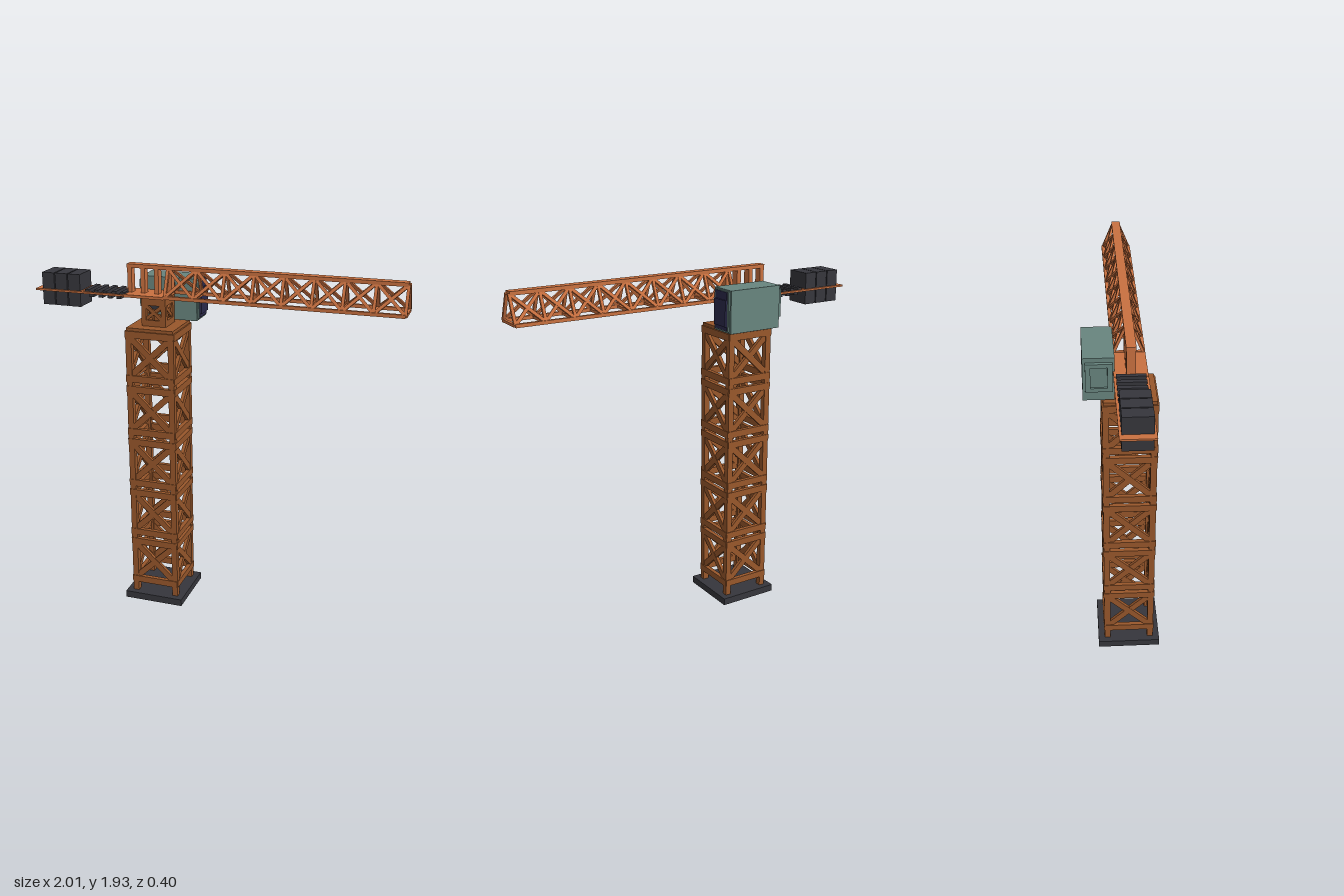
import * as THREE from 'three';

const material = (name, color) => {
  const m = new THREE.MeshStandardMaterial({ color });
  m.name = name;
  return m;
};

export function createModel() {
  const towerBrown = material('towerBrown', 0x98572b);
  const jibOrange = material('jibOrange', 0xc97140);
  const darkGrey = material('darkGrey', 0x36363c);
  const cabTeal = material('cabTeal', 0x68857f);
  const glassNavy = material('glassNavy', 0x2c2a4c);

  const crane = new THREE.Group();
  crane.name = 'towerCrane';
  const CX = -0.322, CZ = 0.025; // tower axis

  const group = (name, parent = crane) => {
    const g = new THREE.Group();
    g.name = name;
    parent.add(g);
    return g;
  };
  // Box given by its extents on each axis
  const box = (parent, name, mat, [x0, x1], [y0, y1], [z0, z1]) => {
    const mesh = new THREE.Mesh(new THREE.BoxGeometry(x1 - x0, y1 - y0, z1 - z0), mat);
    mesh.position.set((x0 + x1) / 2, (y0 + y1) / 2, (z0 + z1) / 2);
    mesh.name = name;
    parent.add(mesh);
    return mesh;
  };
  // Straight member from a to b; depth is measured along the normal
  const beam = (parent, name, mat, a, b, width, depth, normal = [0, 0, 1]) => {
    const p = new THREE.Vector3(...a), q = new THREE.Vector3(...b);
    const along = q.clone().sub(p);
    const length = along.length();
    along.normalize();
    const side = new THREE.Vector3(...normal).cross(along).normalize();
    const out = along.clone().cross(side);
    const mesh = new THREE.Mesh(new THREE.BoxGeometry(width, depth, length), mat);
    mesh.quaternion.setFromRotationMatrix(new THREE.Matrix4().makeBasis(side, out, along));
    mesh.position.copy(p).add(q).multiplyScalar(0.5);
    mesh.name = name;
    parent.add(mesh);
  };
  // Four corner legs of a square lattice column
  const legs = (parent, h, w, y0, y1) => {
    for (const x of [-h, h]) for (const z of [-h, h])
      box(parent, 'cornerLeg', towerBrown, [x - w / 2, x + w / 2], [y0, y1], [z - w / 2, z + w / 2]);
  };
  // Two rails and a cross brace on each of the four faces
  const bracedBay = (parent, r, half, y0, y1, rail, brace, depth) => {
    for (let i = 0; i < 4; i++) {
      const face = group('bracedFace', parent);
      face.rotation.y = i * Math.PI / 2;
      for (const y of [y0, y1])
        box(face, 'rail', towerBrown, [-half, half], [y - rail / 2, y + rail / 2], [r - depth / 2, r + depth / 2]);
      for (const s of [-1, 1])
        beam(face, 'crossBrace', towerBrown, [-s * half * 0.86, y0 + rail * 0.3, r - 0.004 - s * 0.001],
          [s * half * 0.86, y1 - rail * 0.3, r - 0.004 - s * 0.001], brace, depth * 0.8);
    }
  };

  // Base slab
  box(crane, 'baseSlab', darkGrey, [CX - 0.171, CX + 0.171], [0, 0.04], [CZ - 0.171, CZ + 0.171]);

  // Lattice tower of five bays
  const tower = group('tower');
  tower.position.set(CX, 0, CZ);
  legs(tower, 0.12, 0.033, 0.04, 1.59);
  for (let i = 0; i < 5; i++) {
    const y = 0.115 + i * 0.305;
    bracedBay(tower, 0.128, 0.136, y, y + 0.245, 0.038, 0.034, 0.024);
  }
  box(tower, 'towerCap', towerBrown, [-0.132, 0.132], [1.585, 1.615], [-0.132, 0.132]);

  // Slewing column between the tower and the deck
  const column = group('slewingColumn');
  column.position.set(CX, 0, CZ);
  legs(column, 0.055, 0.026, 1.615, 1.767);
  bracedBay(column, 0.06, 0.067, 1.63, 1.745, 0.036, 0.018, 0.016);
  box(column, 'pivotBlock', darkGrey, [-0.035, 0.035], [1.7, 1.765], [-0.035, 0.035]);

  // Deck with the mast posts and their head beam
  const deck = group('deck');
  const HW = 0.082;
  box(deck, 'deckPlate', jibOrange, [-0.49, -0.26], [1.765, 1.78], [CZ - HW, CZ + HW]);
  for (const x of [-0.472, -0.397, -0.32, -0.247])
    box(deck, 'mastPost', jibOrange, [x - 0.012, x + 0.012], [1.778, 1.915], [CZ - 0.022, CZ + 0.022]);
  box(deck, 'headBeam', jibOrange, [-0.485, -0.26], [1.912, 1.932], [CZ - 0.024, CZ + 0.024]);

  // Triangular lattice jib of eight panels
  const jib = group('jib');
  const J0 = -0.26, PITCH = 0.1565, LOW = 1.778, TOP = 1.92, E = HW - 0.009;
  box(jib, 'topChord', jibOrange, [J0, 0.997], [1.912, 1.932], [CZ - 0.024, CZ + 0.024]);
  for (const s of [-1, 1]) {
    const z = CZ + s * E, zt = CZ + s * 0.014;
    box(jib, 'bottomChord', jibOrange, [J0, 0.997], [1.768, 1.786], [z - 0.009, z + 0.009]);
    const n = [0, E - 0.014, s * (TOP - LOW)];
    for (let i = 0; i <= 8; i++) {
      const x = J0 + 0.005 + i * PITCH;
      beam(jib, 'sideUpright', jibOrange, [x, LOW, z], [x, TOP, zt], 0.016, 0.014, n);
      if (i === 8) continue;
      beam(jib, 'sideDiagonal', jibOrange, [x, LOW, z], [x + PITCH, TOP, zt], 0.017, 0.012, n);
      beam(jib, 'sideDiagonal', jibOrange, [x, TOP, zt], [x + PITCH, LOW, z], 0.017, 0.010, n);
    }
  }
  for (let i = 0; i <= 8; i++) {
    const x = J0 + 0.005 + i * PITCH;
    box(jib, 'bottomTie', jibOrange, [x - 0.008, x + 0.008], [1.77, 1.784], [CZ - E, CZ + E]);
  }

  // Counter jib: side rails, end bar, staggered slats and ballast blocks
  const counter = group('counterJib');
  for (const s of [-1, 1])
    box(counter, 'sideRail', jibOrange, [-1, -0.485], [1.767, 1.777],
      [CZ + s * 0.075 - 0.008, CZ + s * 0.075 + 0.008]);
  box(counter, 'endBar', jibOrange, [-1, -0.73], [1.767, 1.777], [CZ - 0.075, CZ + 0.075]);
  const ballastZ = [CZ - 0.071, CZ + 0.071];
  for (let i = 0; i < 9; i++) {
    const x = -0.712 + i * 0.026, y = i % 2 ? 1.75 : 1.769;
    box(counter, 'walkwaySlat', darkGrey, [x, x + 0.025], [y, y + 0.02], ballastZ);
  }
  for (const x of [-0.963, -0.887, -0.811])
    box(counter, 'ballastBlock', darkGrey, [x, x + 0.07], [1.69, 1.865], ballastZ);

  // Operator cab behind the deck
  const cab = group('cab');
  box(cab, 'cabBody', cabTeal, [-0.44, -0.13], [1.625, 1.853], [-0.203, -0.05]);
  box(cab, 'frontFrame', cabTeal, [-0.131, -0.122], [1.635, 1.845], [-0.19, -0.06]);
  box(cab, 'windscreen', glassNavy, [-0.123, -0.118], [1.64, 1.842], [-0.178, -0.072]);
  box(cab, 'windscreenBulge', glassNavy, [-0.119, -0.11], [1.66, 1.8], [-0.178, -0.072]);
  // Raised door frame on the back end
  for (const z of [-0.19, -0.085])
    box(cab, 'doorPost', cabTeal, [-0.46, -0.439], [1.68, 1.83], [z, z + 0.025]);
  for (const y of [1.68, 1.81])
    box(cab, 'doorRail', cabTeal, [-0.459, -0.439], [y, y + 0.02], [-0.17, -0.08]);
  box(cab, 'doorPanel', cabTeal, [-0.448, -0.439], [1.69, 1.82], [-0.17, -0.08]);

  return crane;
}
